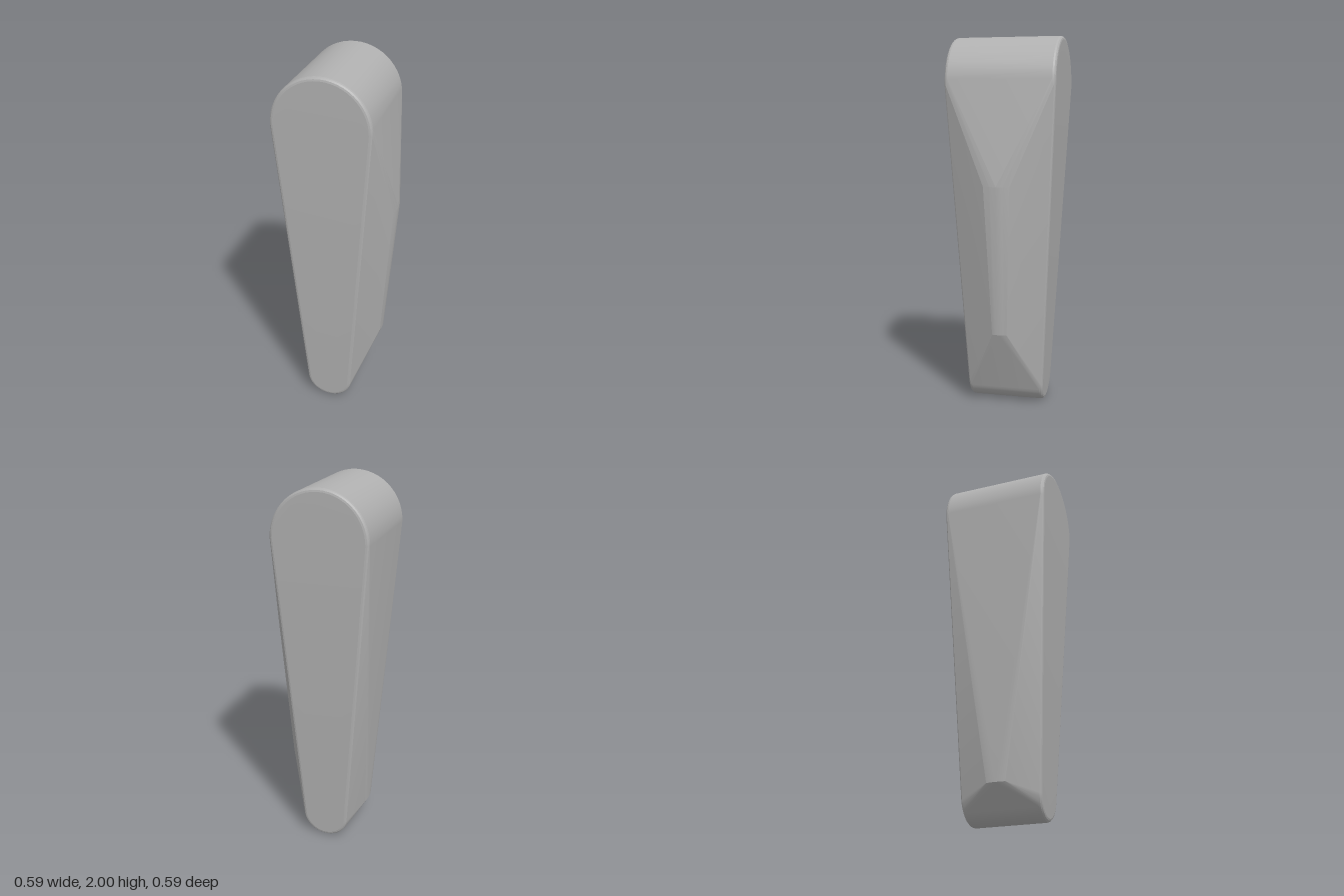
import * as THREE from 'three';
import { ConvexGeometry } from 'three/addons/geometries/ConvexGeometry.js';
import { toCreasedNormals } from 'three/addons/utils/BufferGeometryUtils.js';

const CX = -0.035;                       // centre line of the tapered end profile
const TOP = { y: 1.74, r: 0.26 };        // large upper round
const BOTTOM = { y: 0.13, r: 0.13 };     // small lower round
const BEVEL = 0.018;

// half depth: constant in the round head, thinning towards the foot
const halfDepth = (y) => 0.295 - 0.0515 * Math.max(0, TOP.y - y);

// one tapered outline, shrunk by inset, on both the front and the back
function addOutline(points, inset, back) {
  const steps = 26;
  for (const [round, start] of [[TOP, 0], [BOTTOM, Math.PI]]) {
    for (let i = 0; i <= steps; i++) {
      const a = start + (Math.PI * i) / steps;
      const x = CX + (round.r - inset) * Math.cos(a);
      const y = round.y + (round.r - inset) * Math.sin(a);
      const z = halfDepth(y) - back;
      points.push(new THREE.Vector3(x, y, z), new THREE.Vector3(x, y, -z));
    }
  }
}

// a softly rounded ridge tip across z
function addRidge(points, x, y, halfWidth, drop) {
  for (const t of [-1, -0.5, 0, 0.5, 1]) {
    points.push(new THREE.Vector3(x - drop * t * t, y, halfWidth * t));
  }
}

export function createModel() {
  const group = new THREE.Group();
  const grey = new THREE.MeshStandardMaterial({ color: 0xb0b0b0 });
  grey.name = 'grey';

  const points = [];
  // rounded rim of the front and back faces
  for (let i = 0; i <= 3; i++) {
    const a = (Math.PI / 2) * (i / 3);
    addOutline(points, BEVEL * (1 - Math.sin(a)), BEVEL * (1 - Math.cos(a)));
  }
  // long ridge on the left side
  addRidge(points, 0.294, 1.22, 0.07, 0.01);
  addRidge(points, 0.226, 0.42, 0.04, 0.005);
  // shallow heel on the right side
  addRidge(points, -0.226, 0.17, 0.05, -0.004);

  const body = new THREE.Mesh(toCreasedNormals(new ConvexGeometry(points), 0.2), grey);
  body.name = 'body';
  group.add(body);
  return group;
}
